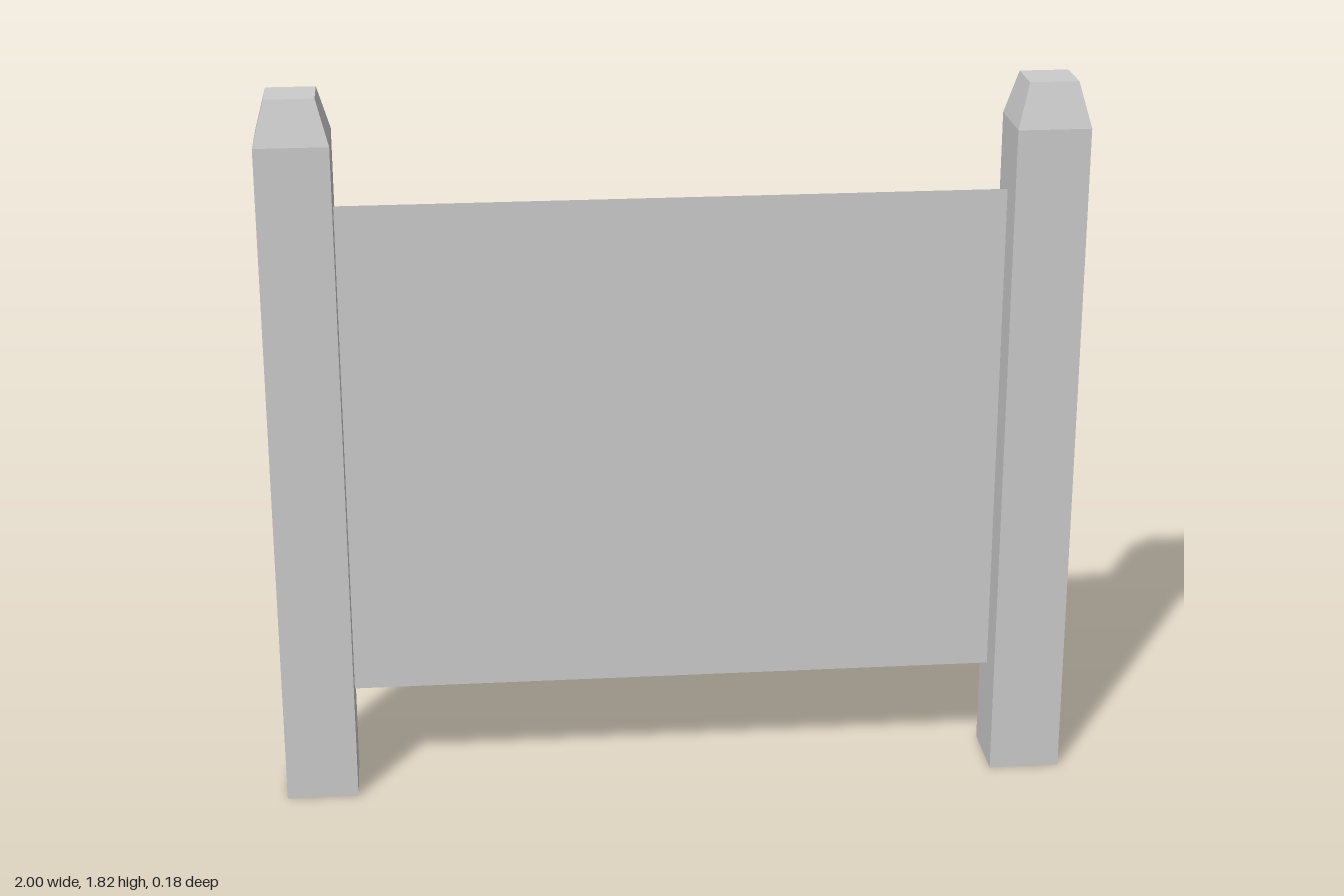
import * as THREE from 'three';

const material = new THREE.MeshStandardMaterial({
  color: 0xcccccc, flatShading: true, side: THREE.DoubleSide,
});

// Square post with a tapered cap, open underneath: a four-sided lathe
function createPost(name, x) {
  const profile = [[0.09, 0], [0.09, 1.71], [0.06, 1.82], [0, 1.82]]
    .map(([half, y]) => new THREE.Vector2(half * Math.SQRT2, y));
  const geometry = new THREE.LatheGeometry(profile, 4, Math.PI / 4).toNonIndexed();
  geometry.computeVertexNormals();
  const post = new THREE.Mesh(geometry, material);
  post.name = name;
  post.position.x = x;
  return post;
}

export function createModel() {
  const group = new THREE.Group();
  group.name = 'fencePanel';

  group.add(createPost('leftPost', 0.91), createPost('rightPost', -0.91));

  // Thin sheet between the inner faces of the posts
  const panel = new THREE.Mesh(new THREE.PlaneGeometry(1.64, 1.28), material);
  panel.name = 'panel';
  panel.position.y = 0.9;
  group.add(panel);

  return group;
}
